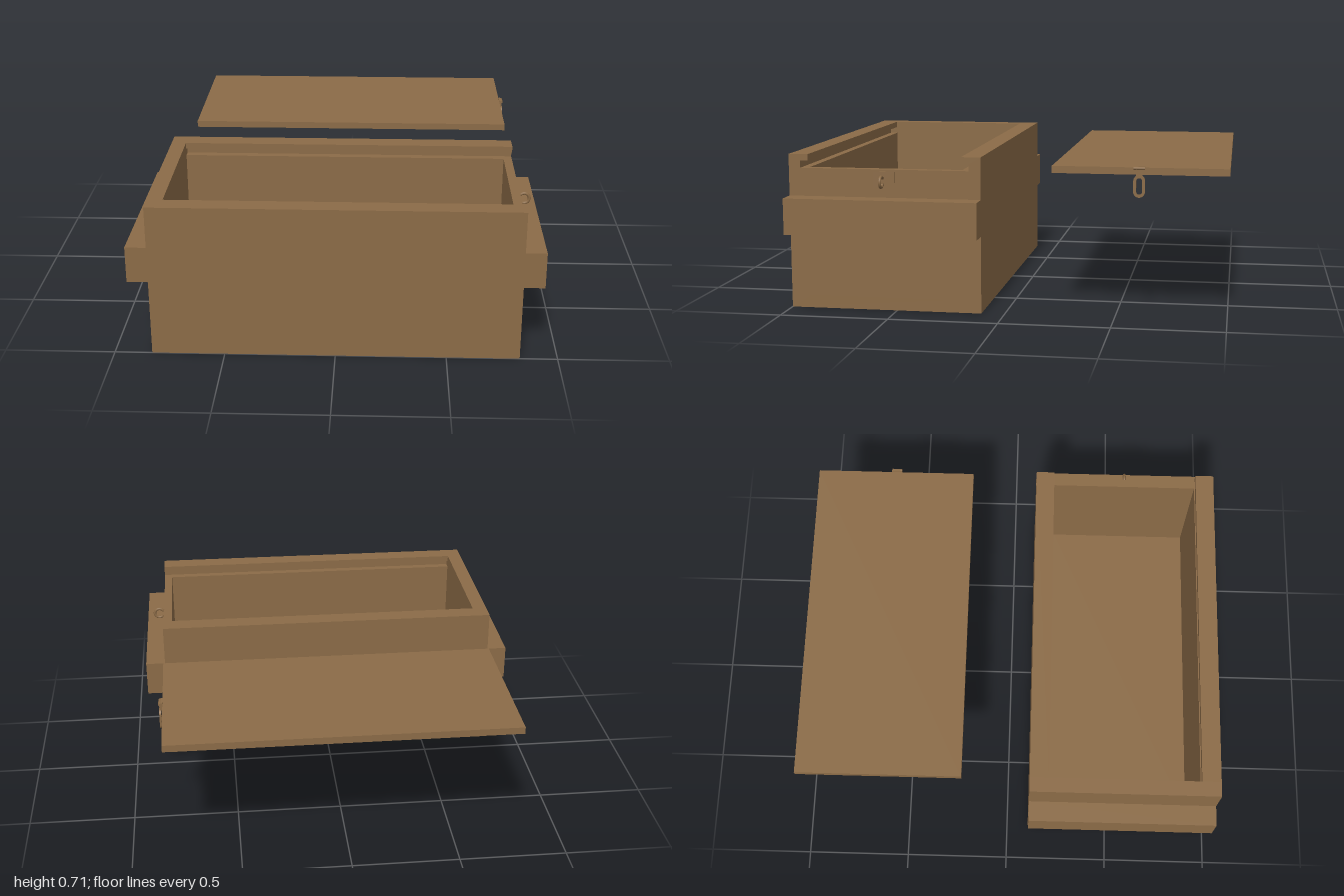
import * as THREE from 'three';

const wood = new THREE.MeshStandardMaterial({ color: 0x8b6b47 });

function add(parent, name, geometry, x = 0, y = 0, z = 0) {
  const mesh = new THREE.Mesh(geometry, wood);
  mesh.name = name;
  mesh.position.set(x, y, z);
  parent.add(mesh);
  return mesh;
}

// Box given by its limits on each axis
function addBox(parent, name, [x0, x1], [y0, y1], [z0, z1]) {
  return add(parent, name, new THREE.BoxGeometry(x1 - x0, y1 - y0, z1 - z0),
    (x0 + x1) / 2, (y0 + y1) / 2, (z0 + z1) / 2);
}

// Extrude a shape drawn in the z-y plane along +x
function extrudeX(shape, depth) {
  return new THREE.ExtrudeGeometry(shape, { depth, bevelEnabled: false, curveSegments: 8 })
    .rotateY(Math.PI / 2);
}

// Upright rounded slot outline: half width r, straight part from -h to h
function slot(path, r, h) {
  path.moveTo(r, -h);
  path.lineTo(r, h);
  path.absarc(0, h, r, 0, Math.PI, false);
  path.lineTo(-r, -h);
  path.absarc(0, -h, r, Math.PI, Math.PI * 2, false);
  return path;
}

export function createModel() {
  const model = new THREE.Group();
  const zc = 0.553, half = 0.447, inner = 0.357, groove = 0.393;
  const top = 0.715, floor = 0.06;

  // Trough: floor and long walls, with a groove for the sliding lid
  const chest = new THREE.Group();
  chest.name = 'chest';
  model.add(chest);
  const right = [[half, 0], [half, top], [inner, top], [inner, 0.685],
    [groove, 0.685], [groove, 0.652], [inner, 0.652], [inner, floor]];
  const left = right.map(([a, b]) => [-a, b]).reverse();
  const section = new THREE.Shape([...right, ...left].map(([a, b]) => new THREE.Vector2(a, b)));
  add(chest, 'trough', extrudeX(section, 1.59), -0.76, 0, zc);

  // End walls; the right one stops below the groove so the lid can slide out
  const depth = [zc - half, zc + half];
  addBox(chest, 'closedEnd', [-0.83, -0.76], [0, top], depth);
  addBox(chest, 'openEnd', [0.79, 0.83], [floor, 0.652], [zc - inner, zc + inner]);

  // Grip rails across both ends
  for (const s of [-1, 1]) {
    const rail = addBox(chest, 'gripRail', [0.83, 0.925], [0.355, 0.523], depth);
    rail.position.x *= s;
  }

  // Staple on the end wall
  const staple = new THREE.Group();
  staple.name = 'staple';
  chest.add(staple);
  addBox(staple, 'staplePlate', [0.83, 0.834], [0.56, 0.642], [zc - 0.05, zc + 0.05]);
  const arc = new THREE.TorusGeometry(0.024, 0.007, 8, 24, Math.PI * 1.6).rotateZ(-Math.PI * 0.8);
  add(staple, 'stapleLoop', arc, 0.859, 0.598, zc + 0.005);
  for (const s of [-1, 1]) {
    addBox(staple, 'staplePin', [0.826, 0.842], [-0.006, 0.006], [zc - 0.002, zc + 0.012])
      .position.y = 0.598 + s * 0.015;
  }

  // Lid, lying off behind the chest
  const lid = new THREE.Group();
  lid.name = 'lid';
  model.add(lid);
  addBox(lid, 'lidBoard', [-0.76, 0.826], [0.652, 0.684], [-1, -0.215]);

  // Hasp: plate on the lid end, hinge pin and hanging slotted link
  const hz = -0.605;
  const hasp = new THREE.Group();
  hasp.name = 'hasp';
  lid.add(hasp);
  addBox(hasp, 'haspPlate', [0.826, 0.834], [0.655, 0.69], [hz - 0.026, hz + 0.026]);
  add(hasp, 'hingePin', new THREE.CylinderGeometry(0.007, 0.007, 0.05, 10).rotateX(Math.PI / 2),
    0.838, 0.682, hz);
  addBox(hasp, 'haspNeck', [0.832, 0.841], [0.638, 0.685], [hz - 0.014, hz + 0.014]);
  const link = slot(new THREE.Shape(), 0.026, 0.024);
  link.holes.push(slot(new THREE.Path(), 0.013, 0.024));
  add(hasp, 'haspLink', extrudeX(link, 0.009), 0.834, 0.602, hz);

  return model;
}
